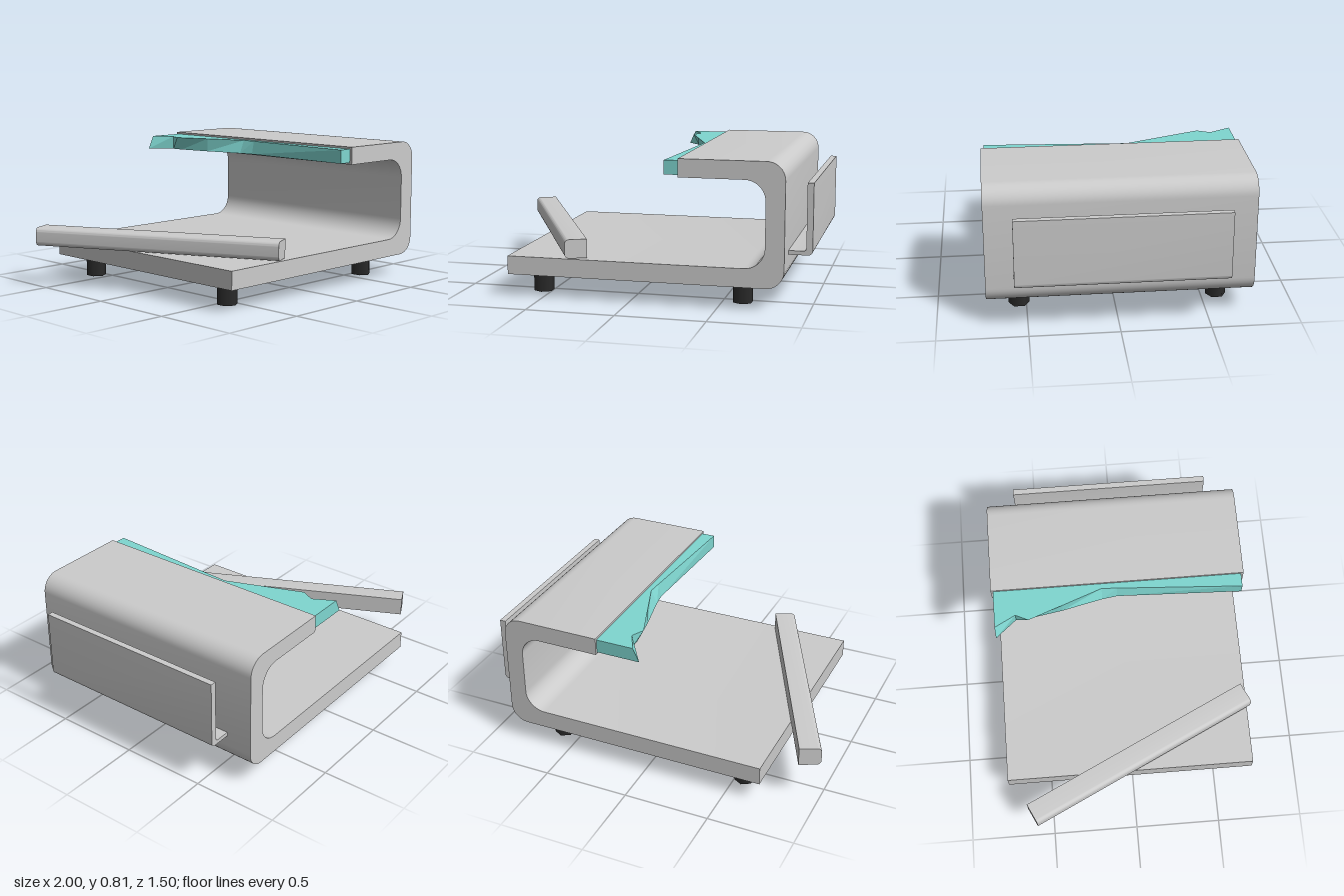
import * as THREE from 'three';
import { toCreasedNormals } from 'three/addons/utils/BufferGeometryUtils.js';

// Shape from right-angled corners [x, y, radius], rounded where radius is given
function roundedShape(corners) {
  const shape = new THREE.Shape();
  const n = corners.length;
  const toward = (a, b, d) => {
    const dx = b[0] - a[0], dy = b[1] - a[1], l = Math.hypot(dx, dy);
    return [a[0] + (dx / l) * d, a[1] + (dy / l) * d];
  };
  corners.forEach((c, i) => {
    const prev = corners[(i + n - 1) % n], next = corners[(i + 1) % n], r = c[2] || 0;
    const start = toward(c, prev, r), end = toward(c, next, r);
    if (i === 0) shape.moveTo(...start);
    else shape.lineTo(...start);
    if (r) {
      const k = r * 0.4477;
      shape.bezierCurveTo(...toward(c, prev, k), ...toward(c, next, k), ...end);
    }
  });
  shape.closePath();
  return shape;
}

// Profile extruded along z from z0 to z1, smooth over the fillets
function extrude(corners, z0, z1) {
  const geometry = new THREE.ExtrudeGeometry(roundedShape(corners), {
    depth: z1 - z0, bevelEnabled: false, curveSegments: 10,
  });
  geometry.translate(0, 0, z0);
  return toCreasedNormals(geometry, 0.6);
}

// Jagged strip lofted through sections [z, top edge x, bottom edge x]
function stripGeometry(sections, xBack, yBottom, yTop) {
  const rings = sections.map(([z, xt, xb]) => [
    [xt, yTop, z], [xBack, yTop, z], [xBack, yBottom, z], [xb, yBottom, z],
  ]);
  const pos = [];
  const quad = (a, b, c, d) => [a, b, c, a, c, d].forEach((p) => pos.push(...p));
  for (let i = 0; i < rings.length - 1; i++) {
    const p = rings[i], q = rings[i + 1];
    for (let k = 0; k < 4; k++) {
      const m = (k + 1) % 4;
      quad(p[k], q[k], q[m], p[m]);
    }
  }
  quad(...rings[0]);
  quad(...[...rings[rings.length - 1]].reverse());
  const geometry = new THREE.BufferGeometry();
  geometry.setAttribute('position', new THREE.Float32BufferAttribute(pos, 3));
  geometry.computeVertexNormals();
  return geometry;
}

export function createModel() {
  const group = new THREE.Group();
  const grey = new THREE.MeshStandardMaterial({ color: 0xcccccc });
  const teal = new THREE.MeshStandardMaterial({ color: 0x7fd6d0, flatShading: true });
  const black = new THREE.MeshStandardMaterial({ color: 0x2a2a2a });
  const add = (name, geometry, material) => {
    const mesh = new THREE.Mesh(geometry, material);
    mesh.name = name;
    group.add(mesh);
    return mesh;
  };

  // C-shaped body: base plate, wall and overhang in one bent profile
  add('body', extrude([
    [-0.705, 0.125], [0.865, 0.125, 0.1], [0.865, 0.815, 0.1], [0.28, 0.815],
    [0.28, 0.713], [0.76, 0.713, 0.115], [0.76, 0.23, 0.115], [-0.705, 0.23],
  ], -0.755, 0.725), grey);

  // L-shaped holder on the wall
  add('sideHolder', extrude([
    [0.865, 0.287], [0.997, 0.287, 0.025], [0.997, 0.685], [0.962, 0.685],
    [0.962, 0.31, 0.015], [0.865, 0.31],
  ], -0.6, 0.57), grey);

  // Slanted bar lying on the base, rounded along its outer edge
  const bar = add('slantedBar', extrude([
    [0, 0.235, 0.026], [0.126, 0.235], [0.126, 0.342], [0, 0.342, 0.026],
  ], 0, 1.476), grey);
  bar.position.set(-1, 0, -0.587);
  bar.rotation.y = Math.atan2(0.64, 1.33);

  // Jagged strip along the lip of the overhang
  add('jaggedStrip', stripGeometry([
    [-0.742, 0.057, 0.02], [-0.62, 0.123, 0.125], [-0.545, 0.087, 0.128],
    [-0.345, 0.162, 0.162], [-0.11, 0.25, 0.215], [-0.02, 0.245, 0.228],
    [0.71, 0.2, 0.2],
  ], 0.28, 0.724, 0.803), teal);

  // Four hexagonal feet
  for (const x of [-0.553, 0.612]) {
    for (const z of [-0.588, 0.541]) {
      add('foot', new THREE.CylinderGeometry(0.059, 0.059, 0.125, 6), black)
        .position.set(x, 0.0625, z);
    }
  }
  return group;
}
